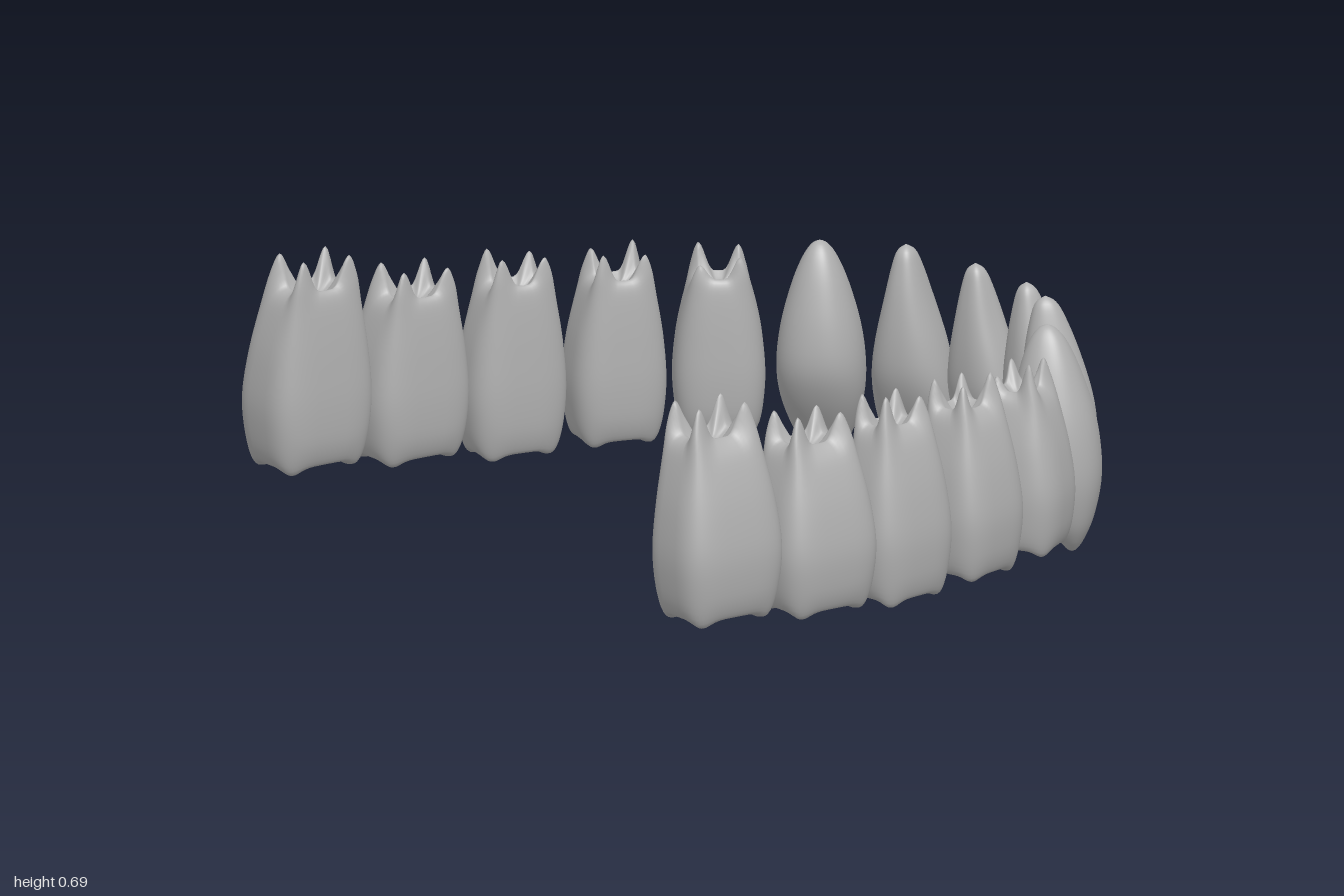
import * as THREE from 'three';
import { mergeVertices } from 'three/addons/utils/BufferGeometryUtils.js';

// Profile rows, bottom to top:
// height fraction, width scale, depth offset (+ is inward), depth scale, cusp lift
const PROFILES = {
  incisor: [
    [0.005, 0, -0.36, 0, 0], [0, 0.55, -0.36, 0.12, 0], [0.03, 0.83, -0.38, 0.24, 0],
    [0.12, 0.94, -0.36, 0.42, 0], [0.25, 1, -0.22, 0.72, 0], [0.4, 0.97, -0.08, 0.92, 0],
    [0.56, 0.82, 0.02, 0.9, 0], [0.75, 0.55, 0.15, 0.7, 0], [0.9, 0.34, 0.25, 0.45, 0],
    [0.97, 0.2, 0.3, 0.26, 0], [1, 0, 0.32, 0, 0],
  ],
  canine: [
    [0, 0, -0.38, 0, 0], [0.015, 0.18, -0.38, 0.12, 0], [0.06, 0.42, -0.37, 0.28, 0],
    [0.15, 0.7, -0.32, 0.52, 0], [0.3, 0.94, -0.16, 0.84, 0], [0.45, 1, -0.02, 0.98, 0],
    [0.62, 0.9, 0.04, 0.9, 0], [0.8, 0.65, 0.1, 0.66, 0], [0.92, 0.4, 0.14, 0.42, 0],
    [0.98, 0.19, 0.16, 0.2, 0], [1, 0, 0.16, 0, 0],
  ],
  molar: [
    [0.07, 0, 0, 0, 0], [0.055, 0.35, 0, 0.35, -0.02], [0.03, 0.66, 0, 0.64, -0.035],
    [0.045, 0.84, 0, 0.8, -0.025], [0.15, 0.95, 0, 0.95, 0], [0.33, 1, 0, 1, 0],
    [0.55, 0.92, 0.06, 0.91, 0], [0.74, 0.78, 0.16, 0.77, 0.03], [0.82, 0.69, 0.24, 0.66, 0.09],
    [0.845, 0.55, 0.28, 0.54, 0.155], [0.835, 0.4, 0.28, 0.4, 0.09], [0.81, 0.2, 0.28, 0.2, 0.02],
    [0.8, 0, 0.28, 0, 0],
  ],
};

// One half of the arch: place, outward angle (degrees), half width, half depth, y range,
// squareness and the strength of the four root tips
const TEETH = [
  { name: 'CentralIncisor', profile: 'incisor', x: 0.113, z: -0.817, angle: 7, w: 0.105, d: 0.08, y0: 0.035, y1: 0.59, n: 2.5 },
  { name: 'LateralIncisor', profile: 'incisor', x: 0.315, z: -0.74, angle: 28, w: 0.107, d: 0.1, y0: 0.03, y1: 0.61, n: 2.3 },
  { name: 'Canine', profile: 'canine', x: 0.503, z: -0.593, angle: 44, w: 0.113, d: 0.118, y0: 0.005, y1: 0.6, n: 2.2 },
  { name: 'FirstPremolar', profile: 'molar', x: 0.672, z: -0.395, angle: 57, w: 0.118, d: 0.102, y0: 0.085, y1: 0.58, n: 3, tips: [1, 0.9, 0.75, 0.5] },
  { name: 'SecondPremolar', profile: 'molar', x: 0.77, z: -0.138, angle: 74, w: 0.126, d: 0.105, y0: 0.085, y1: 0.6, n: 3.4, tips: [0.85, 1, 0.8, 0.9] },
  { name: 'FirstMolar', profile: 'molar', x: 0.835, z: 0.138, angle: 81, w: 0.137, d: 0.098, y0: 0.08, y1: 0.62, n: 3.2, tips: [1, 0.75, 0.8, 0.9] },
  { name: 'SecondMolar', profile: 'molar', x: 0.878, z: 0.432, angle: 89, w: 0.149, d: 0.113, y0: 0.11, y1: 0.625, n: 3.6, tips: [1, 0.9, 0.85, 0.95] },
  { name: 'ThirdMolar', profile: 'molar', x: 0.884, z: 0.742, angle: 90, w: 0.158, d: 0.116, y0: 0.14, y1: 0.7, n: 3.6, tips: [1, 0.95, 0.95, 1] },
];

const SEGMENTS = 56;
const STEPS = 4; // rings between two profile rows

// Rounded-square loops stacked along a smoothed profile; side is +1 or -1
function toothGeometry(t, side) {
  const rows = PROFILES[t.profile];
  const spline = new THREE.CubicInterpolant(rows.map((_, i) => i), rows.flat(), 5);
  const rings = (rows.length - 1) * STEPS;
  const tips = t.tips || [0, 0, 0, 0];
  const a = THREE.MathUtils.degToRad(t.angle);
  const soft = (c) => Math.sign(c) * Math.abs(c) ** (2 / t.n);
  const positions = [], index = [];

  for (let j = 0; j <= rings; j++) {
    const [h, ws, offset, ds, lift] = spline.evaluate(j / STEPS);
    for (let i = 0; i < SEGMENTS; i++) {
      const phi = (i / SEGMENTS) * Math.PI * 2;
      // Tips rise at the four corners, with furrows between them
      const peak = ((1 - Math.cos(4 * phi)) / 2) ** 1.4;
      const quarter = Math.floor(phi / (Math.PI / 2)) % 4;
      const strength = tips[[3, 2, 1, 0][[0, 1, 2, 3][quarter]]];
      const furrow = 1 - Math.max(0, lift) * 1.1 * (1 - peak);
      const u = soft(Math.cos(phi)) * Math.max(0, ws) * t.w * furrow;
      const v = (soft(Math.sin(phi)) * Math.max(0, ds) * furrow + offset) * t.d;
      const y = t.y0 + (t.y1 - t.y0) * (h + lift * peak * strength);
      positions.push(
        side * (t.x + u * Math.cos(a) - v * Math.sin(a)),
        y,
        t.z + u * Math.sin(a) + v * Math.cos(a),
      );
      if (j < rings) {
        const p = j * SEGMENTS + i;
        const q = j * SEGMENTS + ((i + 1) % SEGMENTS);
        const up = p + SEGMENTS, uq = q + SEGMENTS;
        if (side > 0) index.push(p, up, q, q, up, uq);
        else index.push(p, q, up, q, uq, up);
      }
    }
  }
  let geometry = new THREE.BufferGeometry();
  geometry.setAttribute('position', new THREE.Float32BufferAttribute(positions, 3));
  geometry.setIndex(index);
  geometry = mergeVertices(geometry, 1e-5);
  geometry.computeVertexNormals();
  return geometry;
}

export function createModel() {
  const model = new THREE.Group();
  model.name = 'upperTeeth';
  const enamel = new THREE.MeshStandardMaterial({ color: 0xb0b0b0 });
  enamel.name = 'grey enamel';

  // Both halves of the arch
  for (const side of [1, -1]) {
    const half = new THREE.Group();
    half.name = side > 0 ? 'leftTeeth' : 'rightTeeth';
    for (const t of TEETH) {
      const tooth = new THREE.Mesh(toothGeometry(t, side), enamel);
      tooth.name = (side > 0 ? 'left' : 'right') + t.name;
      half.add(tooth);
    }
    model.add(half);
  }
  return model;
}
